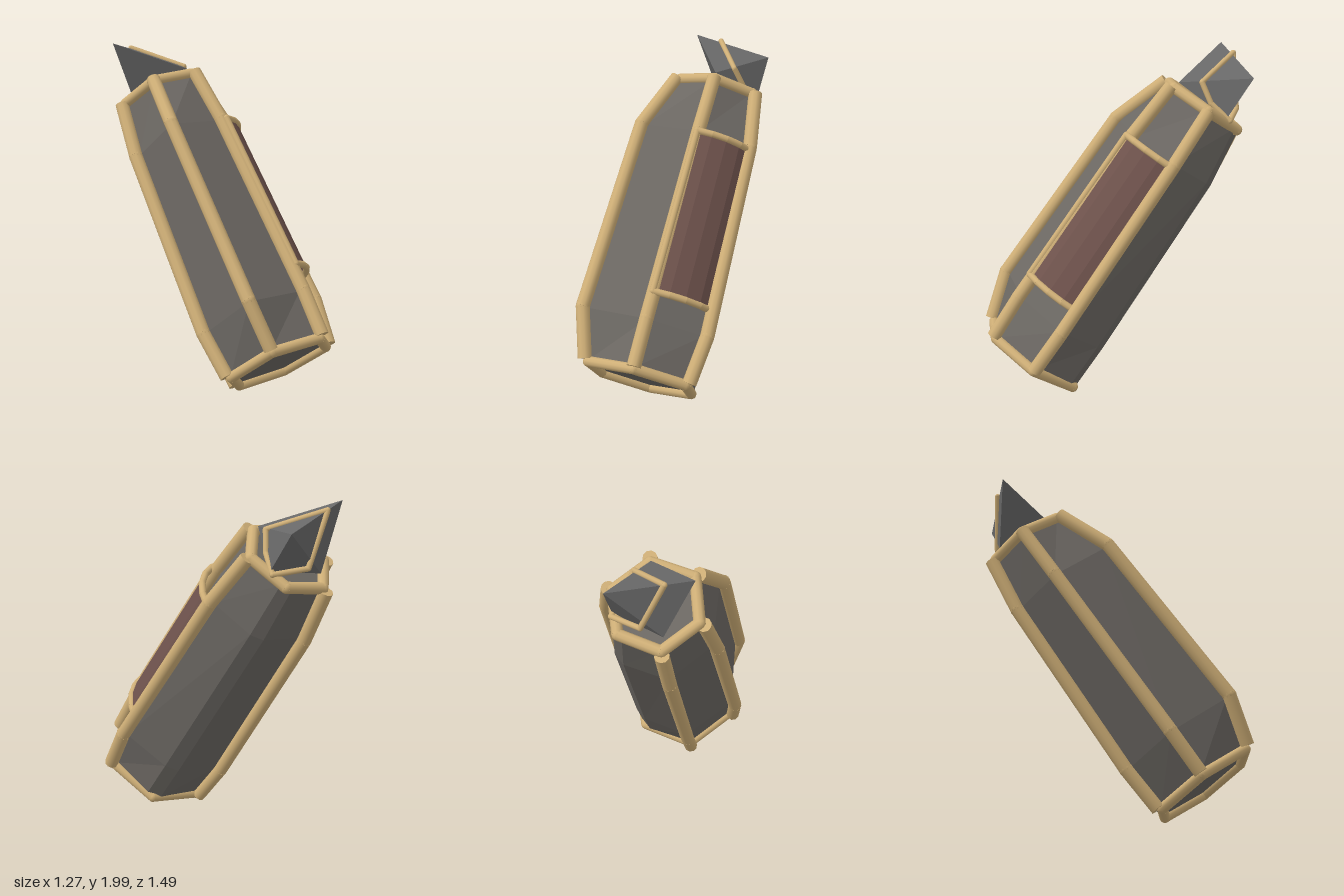
import * as THREE from 'three';
import { ConvexGeometry } from 'three/addons/geometries/ConvexGeometry.js';

const V = (x, y, z) => new THREE.Vector3(x, y, z);

// Leaning axis of the hull and two directions across it
const base = V(0.305, 0.21, 0.39);
const axis = V(-0.351, 0.818, -0.457).normalize();
const across = V(-0.21, 0.38, 0.9);
across.addScaledVector(axis, -across.dot(axis)).normalize();
const side = axis.clone().cross(across);

// Point at height s along the axis, on corner k (60 degrees apart), at radius r
function at(k, s, r) {
  const a = (k - 2) * Math.PI / 3;
  return base.clone().addScaledVector(axis, s)
    .addScaledVector(across, Math.cos(a) * r)
    .addScaledVector(side, Math.sin(a) * r);
}

// Radii of the six corners at four stations
const stations = [0.02, 0.3, 1.45, 1.8];
const corners = [
  { k: 1, r: [0.34, 0.37, 0.325, 0.275] },
  { k: 2, r: [0.365, 0.46, 0.42, 0.285] },
  { k: 3, r: [0.33, 0.34, 0.31, 0.275] },
  { k: 4, r: [0.345, 0.385, 0.34, 0.275] },
  { k: 5, r: [0.34, 0.345, 0.325, 0.275], bare: true },
  { k: 6, r: [0.34, 0.36, 0.33, 0.275] },
];

export function createModel() {
  const mat = (name, color) => Object.assign(new THREE.MeshStandardMaterial({ color }), { name });
  const hullGrey = mat('hull grey', 0x6c6863);
  const gold = mat('gold trim', 0xcfaf77);
  const panelBrown = mat('panel brown', 0x6e524c);
  const crystalGrey = mat('crystal grey', 0x686868);
  panelBrown.side = THREE.DoubleSide;

  const model = new THREE.Group();
  const add = (name, geometry, material, parent = model) => {
    const mesh = new THREE.Mesh(geometry, material);
    mesh.name = name;
    parent.add(mesh);
  };

  // Round bar through a list of points, with rounded joints
  function bar(name, points, radius, closed = false) {
    const group = new THREE.Group();
    group.name = name;
    const n = points.length;
    for (let i = 0; i < (closed ? n : n - 1); i++) {
      const a = points[i], b = points[(i + 1) % n];
      const g = new THREE.CylinderGeometry(radius, radius, a.distanceTo(b), 10);
      g.applyQuaternion(new THREE.Quaternion().setFromUnitVectors(V(0, 1, 0), b.clone().sub(a).normalize()));
      g.translate(...a.clone().add(b).multiplyScalar(0.5).toArray());
      add(name + 'Segment', g, gold, group);
      if (closed || i > 0) {
        const joint = new THREE.SphereGeometry(radius, 10, 8);
        joint.translate(a.x, a.y, a.z);
        add(name + 'Joint', joint, gold, group);
      }
    }
    model.add(group);
  }

  // Mesh skin between rows of points
  function skin(rows, closed) {
    const p = [];
    const tri = (...v) => v.forEach((q) => p.push(q.x, q.y, q.z));
    for (let j = 0; j < rows.length - 1; j++) {
      const lo = rows[j], hi = rows[j + 1], n = lo.length;
      for (let i = 0; i < (closed ? n : n - 1); i++) {
        const m = (i + 1) % n;
        tri(lo[i], lo[m], hi[m]);
        tri(lo[i], hi[m], hi[i]);
      }
    }
    if (closed) {
      const lo = rows[0], hi = rows[rows.length - 1];
      for (let i = 1; i < lo.length - 1; i++) {
        tri(lo[0], lo[i + 1], lo[i]);
        tri(hi[0], hi[i], hi[i + 1]);
      }
    }
    const g = new THREE.BufferGeometry();
    g.setAttribute('position', new THREE.Float32BufferAttribute(p, 3));
    g.computeVertexNormals();
    return g;
  }

  // Hull: six sided, with the bare rear corner softened
  const rows = stations.map((s, j) => corners.flatMap(({ k, r, bare }) => {
    const radius = r[j] - 0.025;
    return bare ? [at(k - 0.13, s, radius), at(k + 0.13, s, radius)] : [at(k, s, radius)];
  }));
  add('hull', skin(rows, true), hullGrey);

  // Long struts on the corners
  for (const { k, r, bare } of corners) {
    if (!bare) bar('strut', stations.map((s, j) => at(k, s, r[j])), 0.041);
  }

  // Rings round both ends
  bar('bottomRing', corners.map(({ k, r }) => at(k, 0.01, r[0] - 0.025)), 0.031, true);
  bar('topRing', corners.map(({ k, r }) => at(k, 1.8, r[3] - 0.025)), 0.033, true);

  // Curved side panel and its thin frame
  const arc = (s, r) => [3, 3.25, 3.5, 3.75, 4].map((k) => at(k, s, r));
  const low = arc(0.45, 0.365), high = arc(1.43, 0.345);
  add('sidePanel', skin([low, high], false), panelBrown);
  bar('panelFrame', [...low, ...high.slice().reverse()], 0.02, true);

  // Pointed crystal on the top end
  add('crystal', new ConvexGeometry([
    V(-0.625, 2.0, -0.435), V(-0.275, 1.89, -0.745), V(-0.18, 1.85, -0.33),
    V(-0.49, 1.62, -0.53), V(-0.19, 1.665, -0.62),
  ]), crystalGrey);
  bar('crystalBand', [
    V(-0.515, 1.97, -0.545), V(-0.195, 1.86, -0.465), V(-0.185, 1.745, -0.525),
    V(-0.2, 1.65, -0.635), V(-0.4, 1.67, -0.61),
  ], 0.016, true);

  return model;
}
